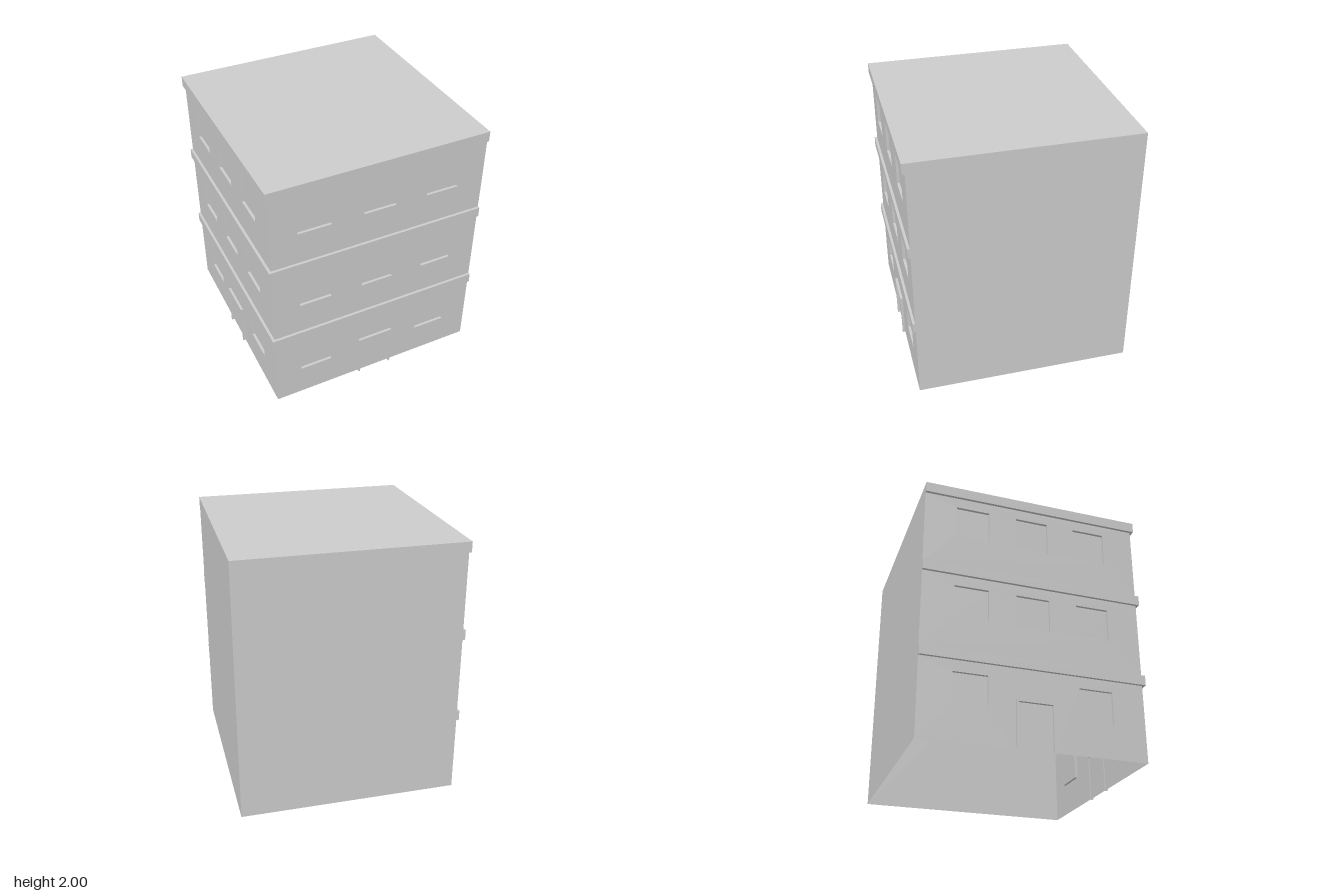
import * as THREE from 'three';

const OUT = 0.845;   // plain walls and ledge faces
const WALL = 0.825;  // facade wall plane
const RECESS = 0.02; // window depth
const LEDGES = [[0.59, 0.667], [1.255, 1.333], [1.92, 2]];
const WINDOW_HALF = 0.127;
const WINDOW_ROWS = [[0.252, 0.504], [0.92, 1.172], [1.585, 1.84]];
const DOOR = { half: 0.127, top: 0.34, frameHalf: 0.141, frameTop: 0.355 };

const material = new THREE.MeshStandardMaterial({
  color: 0xcccccc, flatShading: true, side: THREE.DoubleSide,
});

const points = (list) => list.map(([x, y]) => new THREE.Vector2(x, y));
const rect = (x0, x1, y0, y1) => [[x0, y0], [x1, y0], [x1, y1], [x0, y1]];

function add(parent, name, geometry, z = 0) {
  const mesh = new THREE.Mesh(geometry, material);
  mesh.name = name;
  mesh.position.z = z;
  parent.add(mesh);
  return mesh;
}

// Flat sheet with optional holes
function sheet(outline, holes = []) {
  const shape = new THREE.Shape(points(outline));
  holes.forEach((h) => shape.holes.push(new THREE.Path(points(h))));
  return new THREE.ShapeGeometry(shape);
}

// Strip that sweeps a polyline from depth z0 to depth z1
function ribbon(line, z0, z1) {
  const pos = [];
  for (let i = 0; i + 1 < line.length; i++) {
    const [a, b] = [line[i], line[i + 1]];
    pos.push(...a, z0, ...b, z0, ...b, z1, ...a, z0, ...b, z1, ...a, z1);
  }
  const geometry = new THREE.BufferGeometry();
  geometry.setAttribute('position', new THREE.Float32BufferAttribute(pos, 3));
  geometry.computeVertexNormals();
  return geometry;
}

// Decorated wall facing local +z, running from u0 to u1
function facade(name, u0, u1, ledge0, ledge1, centre, spacing) {
  const group = new THREE.Group();
  group.name = name;
  WINDOW_ROWS.forEach(([y0, y1], storey) => {
    const holes = [];
    let base = rect(u0, u1, storey ? LEDGES[storey - 1][1] : 0, LEDGES[storey][0]);

    for (const column of [-1, 0, 1]) {
      if (storey === 0 && column === 0) continue;
      const c = centre + column * spacing;
      const hole = rect(c - WINDOW_HALF, c + WINDOW_HALF, y0, y1);
      holes.push(hole);
      add(group, 'windowReveal', ribbon([...hole, hole[0]], WALL - RECESS, WALL));
      add(group, 'windowPane', sheet(hole), WALL - RECESS);
    }

    // Ground floor wall is notched around the door
    if (storey === 0) {
      const { half, top, frameHalf, frameTop } = DOOR;
      const outer = [[centre - frameHalf, 0], [centre - frameHalf, frameTop],
        [centre + frameHalf, frameTop], [centre + frameHalf, 0]];
      const inner = [[centre - half, 0], [centre - half, top],
        [centre + half, top], [centre + half, 0]];
      base = [base[0], ...outer, ...base.slice(1)];
      add(group, 'doorFrameFace', sheet([...outer, ...[...inner].reverse()]), OUT);
      add(group, 'doorFrameOutside', ribbon(outer, WALL, OUT));
      add(group, 'doorFrameInside', ribbon(inner, OUT, WALL));
      add(group, 'doorPanel', sheet(inner), WALL);
    }
    add(group, 'storeyWall', sheet(base, holes), WALL);
    add(group, 'ledgeFace', sheet(rect(ledge0, ledge1, ...LEDGES[storey])), OUT);
  });
  return group;
}

export function createModel() {
  const model = new THREE.Group();
  model.name = 'building';

  // Two decorated street sides
  model.add(facade('frontFacade', -WALL, OUT, -OUT, OUT, 0.008, 0.5));
  const side = facade('sideFacade', -OUT, WALL, -OUT, OUT, -0.012, 0.465);
  side.rotation.y = -Math.PI / 2;
  model.add(side);

  // Two plain walls, whose outer edge follows the ledges
  const profile = [[OUT, 2], [OUT, 0], [-WALL, 0]];
  LEDGES.forEach(([y0, y1]) => {
    profile.push([-WALL, y0], [-OUT, y0], [-OUT, y1]);
    if (y1 < 2) profile.push([-WALL, y1]);
  });
  add(model, 'backWall', sheet(profile), -OUT);
  const plain = add(model, 'plainSideWall', sheet(profile));
  plain.rotation.y = Math.PI / 2;
  plain.position.x = OUT;

  // Ledge tops and undersides wrap round the corner (plan drawn as x, -z)
  const wrap = [[-OUT, OUT], [-OUT, -OUT], [OUT, -OUT],
    [OUT, -WALL], [-WALL, -WALL], [-WALL, OUT]];
  const level = (name, outline, y) => {
    const mesh = add(model, name, sheet(outline));
    mesh.rotation.x = -Math.PI / 2;
    mesh.position.y = y;
  };
  LEDGES.forEach(([y0, y1]) => {
    level('ledgeUnderside', wrap, y0);
    if (y1 < 2) level('ledgeTop', wrap, y1);
  });
  level('roof', rect(-OUT, OUT, -OUT, OUT), 2);

  return model;
}
